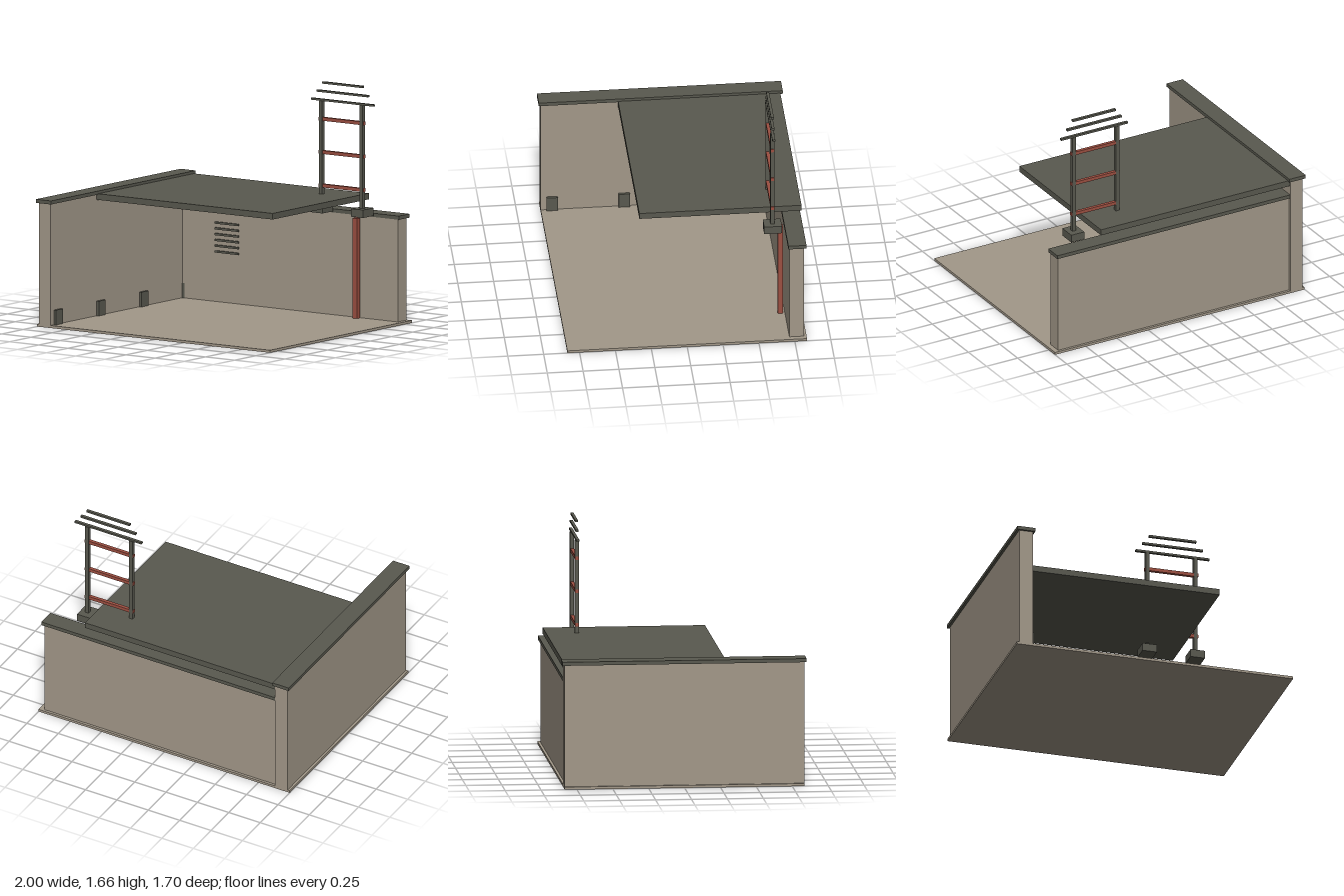
import * as THREE from 'three';

export function createModel() {
  const model = new THREE.Group();
  model.name = 'shelter';

  const material = (name, color) => {
    const m = new THREE.MeshStandardMaterial({ color });
    m.name = name;
    return m;
  };
  const concrete = material('concrete', 0xa29889);
  const darkMetal = material('dark metal', 0x59594f);
  const rust = material('rust red', 0x9c4f41);

  // Box given by its extents along each axis
  function box(name, mat, [x0, x1], [y0, y1], [z0, z1], parent = model) {
    const mesh = new THREE.Mesh(new THREE.BoxGeometry(x1 - x0, y1 - y0, z1 - z0), mat);
    mesh.position.set((x0 + x1) / 2, (y0 + y1) / 2, (z0 + z1) / 2);
    mesh.name = name;
    parent.add(mesh);
    return mesh;
  }

  // Floor, walls and their copings
  box('floor', concrete, [-1, 1], [0, 0.018], [-0.835, 0.835]);
  box('sideWall', concrete, [-0.983, -0.885], [0.018, 0.87], [-0.835, 0.835]);
  box('sideWallCap', darkMetal, [-1, -0.87], [0.87, 0.895], [-0.85, 0.85]);
  box('backWall', concrete, [-0.885, 0.965], [0.018, 0.737], [-0.817, -0.715]);
  box('backWallCap', darkMetal, [-0.885, 0.98], [0.737, 0.763], [-0.833, -0.707]);

  // Roof slab, floating above the back wall
  box('roof', darkMetal, [-0.9, 0.63], [0.833, 0.876], [-0.833, 0.297]);

  // Rusty post standing before the back wall
  box('post', rust, [0.61, 0.648], [0.018, 0.72], [-0.702, -0.666]);

  // Vent slats on the back wall
  for (let i = 0; i < 6; i++) {
    const y = 0.37 + i * 0.0405;
    box('ventSlat', darkMetal, [-0.6, -0.4], [y - 0.007, y + 0.007], [-0.716, -0.702]);
  }

  // Small blocks along the foot of the side wall
  for (let i = 0; i < 4; i++) {
    const z = 0.756 - i * 0.502;
    box('wallBlock', darkMetal, [-0.886, -0.866], [0.018, 0.122], [z - 0.039, z + 0.039]);
  }

  // Ladder mast: feet, uprights, rungs and tapering top bars
  const mast = new THREE.Group();
  mast.name = 'mast';
  model.add(mast);
  const mz = -0.62;
  for (const x of [0.381, 0.729]) {
    box('mastFoot', darkMetal, [x - 0.052, x + 0.052], [0.75, 0.806], [mz - 0.062, mz + 0.062], mast);
    box('mastUpright', darkMetal, [x - 0.014, x + 0.014], [0.806, 1.53], [mz - 0.014, mz + 0.014], mast);
  }
  for (const y of [0.935, 1.17, 1.403]) {
    box('mastRung', rust, [0.362, 0.748], [y - 0.012, y + 0.012], [mz - 0.012, mz + 0.012], mast);
  }
  [0.267, 0.219, 0.172].forEach((half, i) => {
    const y = 1.536 + i * 0.061;
    box('mastTopBar', darkMetal, [0.564 - half, 0.564 + half], [y - 0.007, y + 0.007], [mz - 0.01, mz + 0.01], mast);
  });

  return model;
}
